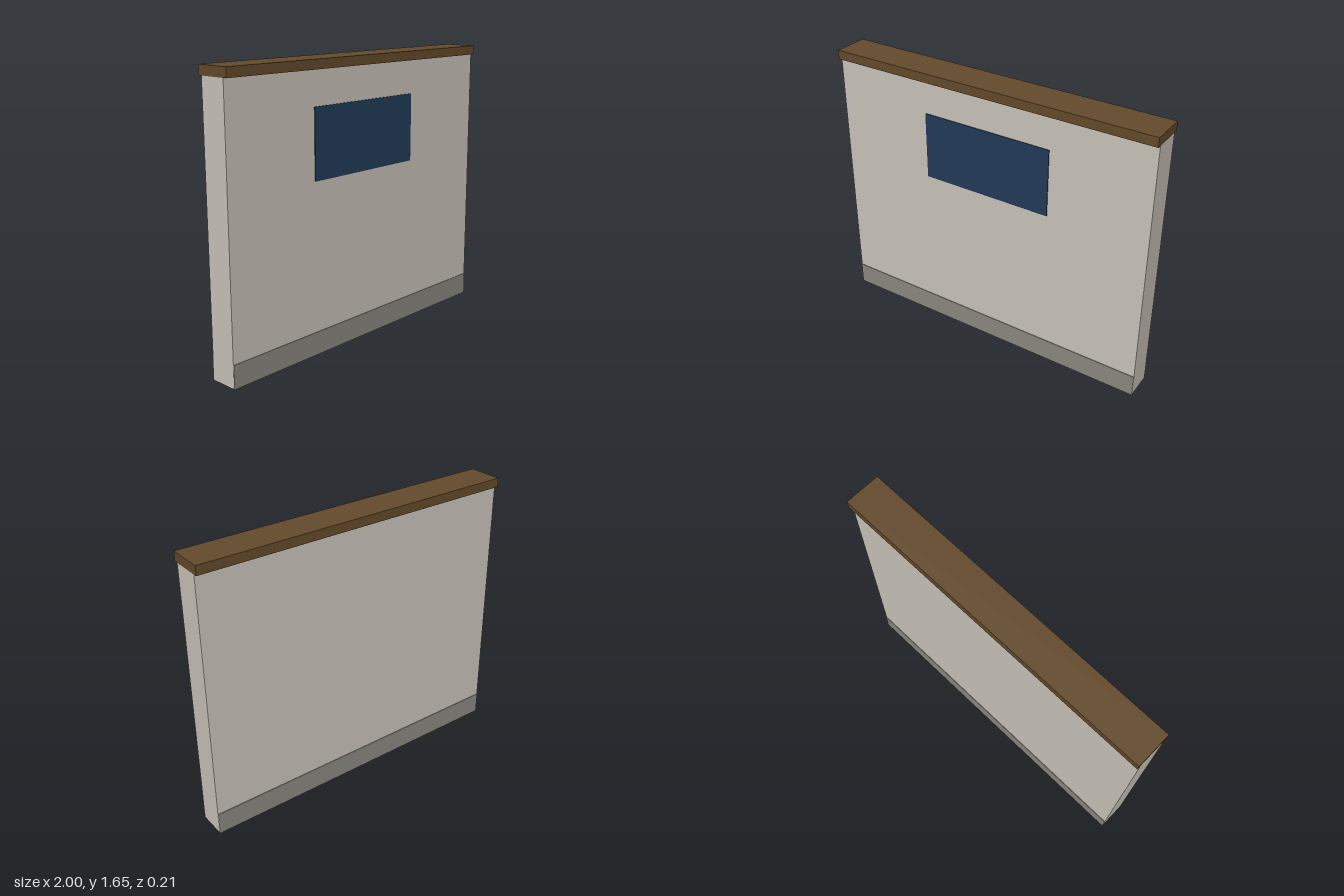
import * as THREE from 'three';

const material = (name, color) => {
  const m = new THREE.MeshStandardMaterial({ color });
  m.name = name;
  return m;
};

export function createModel() {
  const plaster = material('plaster', 0xc9c3b9);
  const stone = material('stone', 0x8b8880);
  const wood = material('wood', 0x634a2b);
  const navy = material('navy', 0x223b58);

  const group = new THREE.Group();
  group.name = 'wallSection';

  // Box spanning y0..y1 and centred on x = 0
  const addBox = (name, mat, width, y0, y1, depth, z = 0) => {
    const mesh = new THREE.Mesh(new THREE.BoxGeometry(width, y1 - y0, depth), mat);
    mesh.position.set(0, (y0 + y1) / 2, z);
    mesh.name = name;
    group.add(mesh);
  };

  // Main slab, lifted a hair so its underside does not clash with the plinth
  addBox('wall', plaster, 2, 0.002, 1.6, 0.166);
  // Plinth, slightly proud of the front and back, ends just inside the slab
  addBox('plinth', stone, 1.998, 0, 0.135, 0.173);
  // Overhanging coping along the top
  addBox('coping', wood, 2, 1.6, 1.654, 0.213);
  // Thin panel on the front face
  addBox('panel', navy, 0.8, 1.0, 1.403, 0.006, 0.085);

  return group;
}
